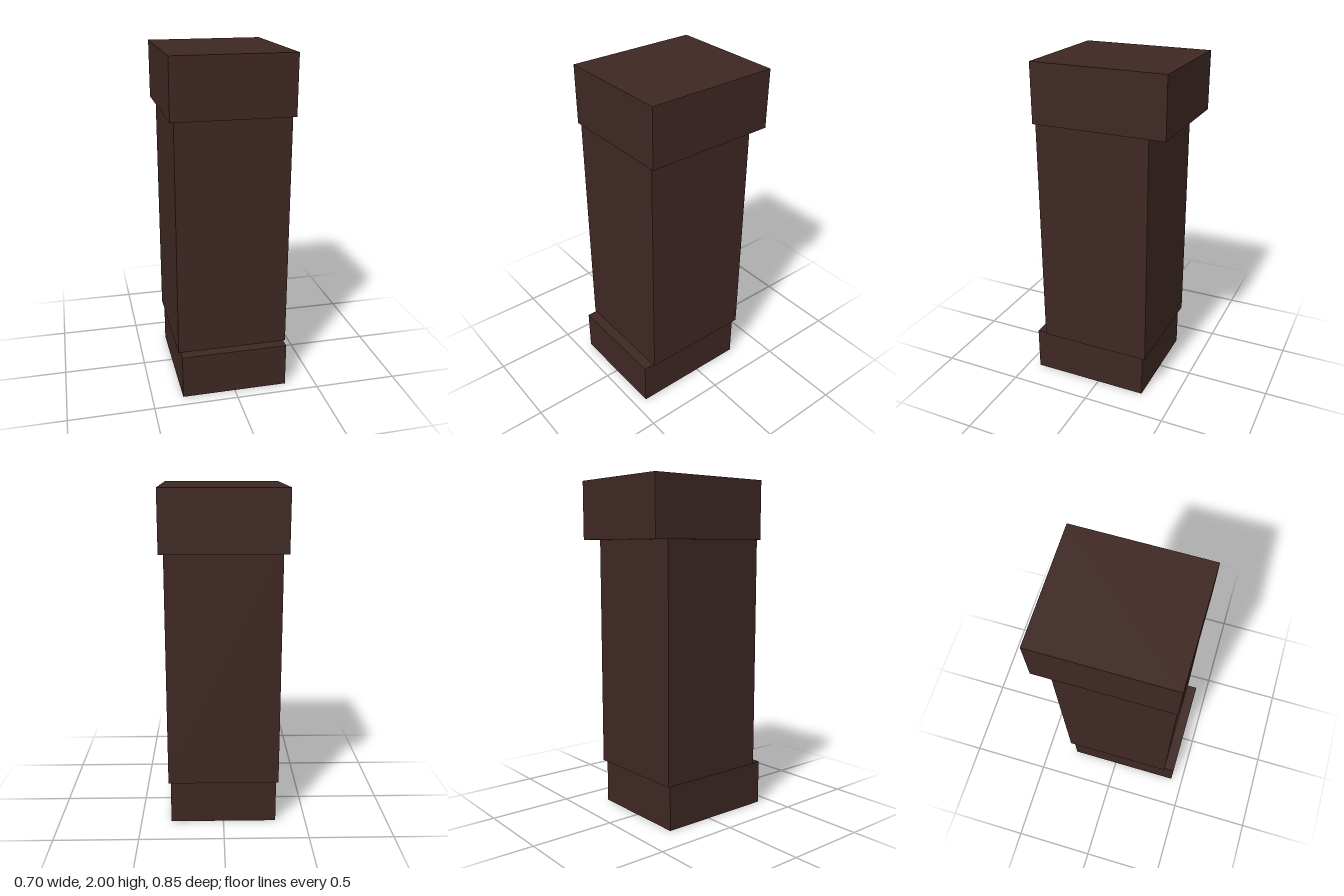
import * as THREE from 'three';

const material = new THREE.MeshStandardMaterial({ color: 0x3e2723 });

// Block given by its width and its y and z ranges, centred on x = 0
function block(name, width, [y0, y1], [z0, z1]) {
  const mesh = new THREE.Mesh(new THREE.BoxGeometry(width, y1 - y0, z1 - z0), material);
  mesh.position.set(0, (y0 + y1) / 2, (z0 + z1) / 2);
  mesh.name = name;
  return mesh;
}

export function createModel() {
  const group = new THREE.Group();
  group.name = 'blockPillar';
  group.add(
    block('base', 0.636, [0, 0.267], [-0.298, 0.423]), // juts out to the front
    block('shaft', 0.66, [0.267, 1.654], [-0.32, 0.36]),
    block('cap', 0.702, [1.654, 2], [-0.423, 0.367]), // juts out to the back
  );
  return group;
}
